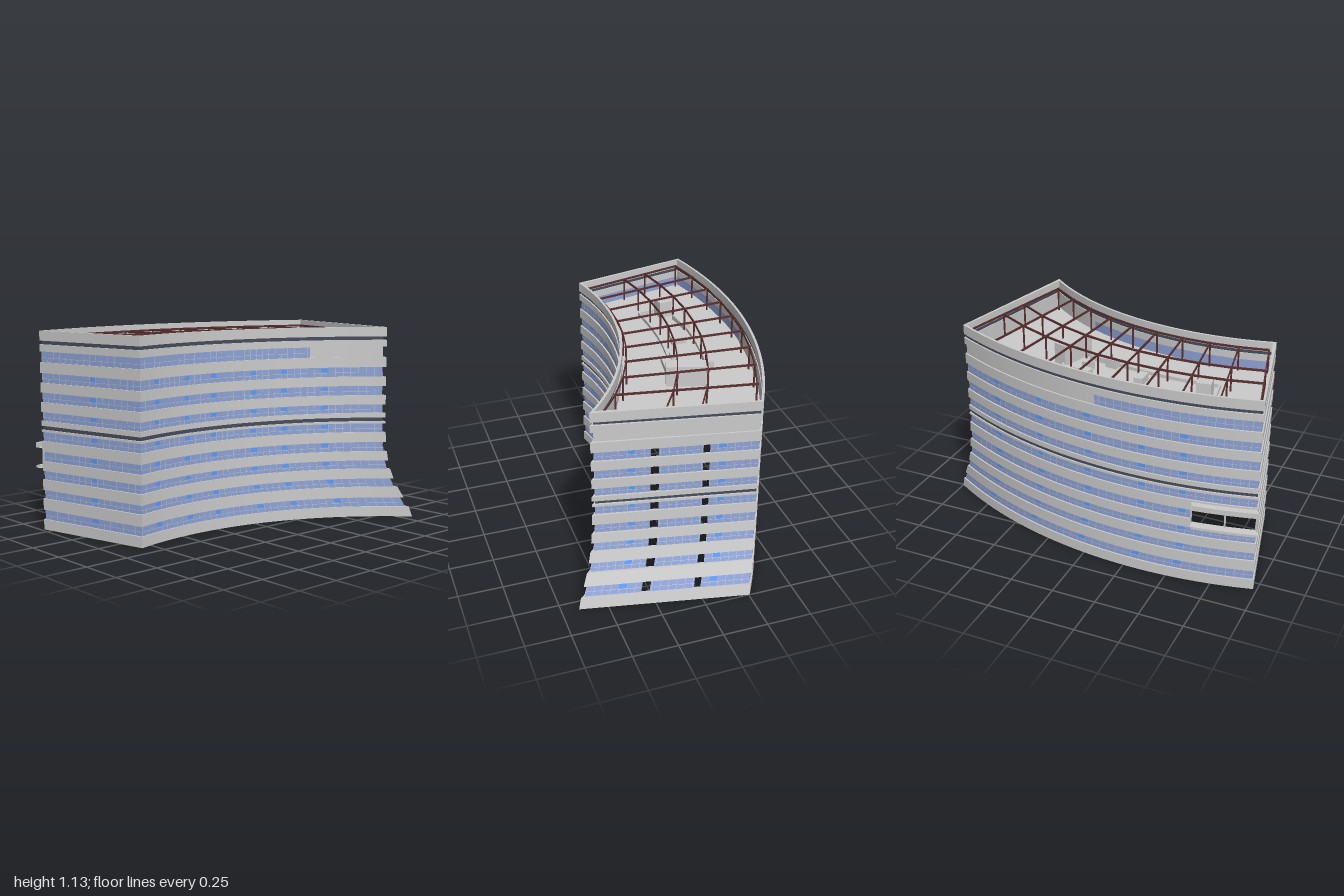
import * as THREE from 'three';
import { mergeGeometries, toCreasedNormals } from 'three/addons/utils/BufferGeometryUtils.js';

const paint = (color) => new THREE.MeshStandardMaterial({ color, side: THREE.DoubleSide });
const GREY = paint(0xcccccc), GLASS = paint(0x8fa3d6), VENT = paint(0x5f9cf5);
const DARK = paint(0x464d5c), STEEL = paint(0x5c3030), MULLION = paint(0xc4c9d2);

// Outline stations: front 0-40, right end 40-60, back 60-100, left end 100-116
const FRONT = 40, RIGHT = 60, BACK = 100, COUNT = 116;
const GLASS_IN = 0.009;

// Curved plan: two arcs joined by straight ends; the right end flares out toward the ground
const frontZ = (x, inset) => 1.75 - Math.sqrt((1.65 + inset) ** 2 - (x + 0.42) ** 2);
const backZ = (x, inset) => 1.953 - Math.sqrt((2.588 - inset) ** 2 - (x + 0.35) ** 2);
const flare = (y) => Math.exp(-((y / 0.22) ** 1.6));
const mix = THREE.MathUtils.lerp;

function frontPoint(t, y, inset) {
  const e = Math.max(inset, -0.02);
  const x = mix(-0.823 + e, 0.695 + 0.12 * flare(y) - e, t);
  return new THREE.Vector3(x, y, frontZ(x, inset));
}

function backPoint(t, y, inset) {
  const e = Math.max(inset, -0.02);
  const x = mix(-0.98 + e, 0.865 + 0.135 * flare(y) - e, t);
  return new THREE.Vector3(x, y, backZ(x, inset));
}

// Point between the front (v = 1) and back (v = 0) walls, u running left to right
const planPoint = (u, v, y, inset) => backPoint(u, y, inset).lerp(frontPoint(u, y, inset), v);

function station(i, y, inset) {
  i = ((i % COUNT) + COUNT) % COUNT;
  if (i <= FRONT) return frontPoint(i / FRONT, y, inset);
  if (i <= RIGHT) return planPoint(1, 1 - (i - FRONT) / (RIGHT - FRONT), y, inset);
  if (i <= BACK) return backPoint(1 - (i - RIGHT) / (BACK - RIGHT), y, inset);
  return planPoint(0, (i - BACK) / (COUNT - BACK), y, inset);
}

// Sweep a profile of [inset, y] points along stations from..to
function sweep(profile, from = 0, to = COUNT) {
  const pos = [];
  for (let i = from; i < to; i = Math.floor(i) + 1) {
    const next = Math.min(Math.floor(i) + 1, to);
    for (let k = 0; k + 1 < profile.length; k++) {
      const [a, b, c, d] = [[i, k], [next, k], [next, k + 1], [i, k + 1]]
        .map(([s, p]) => station(s, profile[p][1], profile[p][0]));
      for (const p of [a, b, c, a, c, d]) pos.push(p.x, p.y, p.z);
    }
  }
  const geo = new THREE.BufferGeometry();
  geo.setAttribute('position', new THREE.Float32BufferAttribute(pos, 3));
  return toCreasedNormals(geo, 0.4);
}

const band = (y0, y1, from, to, out = 0, inn = 0.014) =>
  sweep([[out, y0], [out, y1], [inn, y1], [inn, y0], [out, y0]], from, to);
const pane = (y0, y1, from, to, inset = GLASS_IN) => sweep([[inset, y0], [inset, y1]], from, to);

// Rectangular bar between two points
function bar(a, b, w, h = w) {
  const dir = b.clone().sub(a);
  const geo = new THREE.BoxGeometry(w, h, dir.length());
  const m = new THREE.Matrix4().lookAt(b, a, Math.abs(dir.y) > dir.length() * 0.9
    ? new THREE.Vector3(1, 0, 0) : new THREE.Vector3(0, 1, 0));
  m.setPosition(a.clone().add(b).multiplyScalar(0.5));
  return geo.applyMatrix4(m);
}

export function createModel() {
  const model = new THREE.Group();
  const add = (name, geos, material) => {
    const mesh = new THREE.Mesh(mergeGeometries(geos), material);
    mesh.name = name;
    model.add(mesh);
  };

  // Spandrel bands; two of them are trimmed around the terrace opening in the back wall
  const OPEN = 92.6;
  const bands = [];
  for (const [y0, y1] of [[0, 0.06], [0.115, 0.18], [0.23, 0.29], [0.562, 0.575], [0.597, 0.625],
    [0.675, 0.73], [0.785, 0.84], [0.895, 0.955], [1.015, 1.055], [1.075, 1.13]]) bands.push(band(y0, y1));
  for (const [y0, y1, c0, c1] of [[0.34, 0.395, 0.34, 0.37], [0.45, 0.51, 0.47, 0.51]]) {
    bands.push(band(y0, y1, 0, OPEN), band(c0, c1, OPEN, BACK), band(y0, y1, BACK, COUNT));
  }
  add('spandrelBands', bands, GREY);
  add('upperSolidWall', [band(0.955, 1.015, 30.4, 80.5, GLASS_IN)], GREY);
  add('shadowGaps', [pane(0.575, 0.597), pane(1.055, 1.075)], DARK);

  // Window rows: glass, mullions and bright opening lights, with two slots in the right end
  const SLOTS = [[46.75, 47.8], [53.2, 54]];
  const [[s0, s1], [s2, s3]] = SLOTS;
  const rows = [[0.06, 0.115], [0.18, 0.23], [0.29, 0.34], [0.395, 0.45], [0.51, 0.562],
    [0.625, 0.675], [0.73, 0.785], [0.84, 0.895], [0.955, 1.015]];
  const glass = [], mullions = [], vents = [];
  rows.forEach(([y0, y1], r) => {
    const runs = r === 3 ? [[0, s0], [s1, s2], [s3, OPEN], [BACK, COUNT]]
      : r === 8 ? [[0, 30.4], [80.5, COUNT]] : [[0, s0], [s1, s2], [s3, COUNT]];
    for (const [from, to] of runs) {
      glass.push(pane(y0, y1, from, to));
      const rail = mix(y0, y1, 0.4);
      mullions.push(pane(rail, rail + 0.002, from, to, GLASS_IN - 0.001));
      for (let i = Math.ceil(from); i < to; i++) mullions.push(pane(y0, y1, i, i + 0.05, GLASS_IN - 0.001));
      if (r === 8) continue;
      for (const v of [3, 9, 14, 21, 26, 32, 44, 55, 65, 72, 79, 86, 91, 108]) {
        if (v >= from && v < to) vents.push(pane(mix(y0, y1, 0.5), mix(y0, y1, 0.9), v, v + 1, GLASS_IN - 0.001));
      }
    }
  });
  add('windowGlass', glass, GLASS);
  add('windowMullions', mullions, MULLION);
  add('openingLights', vents, VENT);

  // Fin walls running inward from the front edge of each slot, following the flare
  const fins = [], LEVELS = 10;
  for (const [slot] of SLOTS) {
    const fin = new THREE.PlaneGeometry(1, 1, 1, LEVELS), pos = fin.attributes.position;
    for (let k = 0; k < pos.count; k++) {
      const p = station(slot, 0.91 * (pos.getY(k) + 0.5), 0.012);
      const depth = 0.14 * (pos.getX(k) + 0.5);
      pos.setXYZ(k, p.x - 0.98 * depth, p.y, p.z - 0.19 * depth);
    }
    fin.computeVertexNormals();
    fins.push(fin);
  }
  add('slotFinWalls', fins, GREY);

  // Projecting terrace frame around the back opening
  add('terraceFrame', [band(0.355, 0.37, OPEN, BACK, -0.037),
    band(0.47, 0.5, OPEN, BACK, -0.037)], GREY);
  add('terracePosts', [OPEN, 96.5, BACK].map((i) =>
    bar(station(i, 0.37, 0.005), station(i, 0.47, 0.005), 0.008)), GREY);

  // Roof deck closing the hollow shell
  const deckY = 0.955, shape = new THREE.Shape();
  for (let i = 0; i < COUNT; i++) {
    const p = station(i, deckY, 0.012);
    i ? shape.lineTo(p.x, -p.z) : shape.moveTo(p.x, -p.z);
  }
  const deck = new THREE.ExtrudeGeometry(shape, { depth: 0.01, bevelEnabled: false });
  add('roofDeck', [deck.rotateX(-Math.PI / 2).translate(0, deckY - 0.01, 0)], GREY);

  // Rooftop steel: cross beams, curved runners and posts
  const steel = [], beamY = 1.095, LINES = 10, runners = [0.01, 0.36, 0.59, 0.99];
  for (let i = 0; i < LINES; i++) {
    const u = i / (LINES - 1);
    steel.push(bar(planPoint(u, 0, beamY, 0.03), planPoint(u, 1, beamY, 0.03), 0.006, 0.012));
    for (const v of runners) {
      const top = planPoint(u, v, beamY, 0.03);
      steel.push(bar(planPoint(u, v, deckY, 0.03), top, 0.008));
      if (i) steel.push(bar(planPoint((i - 1) / (LINES - 1), v, beamY, 0.03), top, 0.006, 0.012));
    }
  }
  add('roofSteelFrame', steel, STEEL);

  // Rooftop plant: a low walled enclosure and equipment boxes [x, z, width, height, depth, turn]
  const plant = [[0.27, -0.14, 0.08, 0.12, 0.22, -0.3], [0.12, -0.33, 0.1, 0.05, 0.05, -0.2],
    [0.13, -0.24, 0.05, 0.05, 0.05, -0.2], [-0.2, -0.27, 0.05, 0.04, 0.09, 0], [0.02, -0.16, 0.07, 0.05, 0.04, -0.15],
    [-0.42, -0.37, 0.16, 0.03, 0.04, 0.1], [0.08, -0.11, 0.18, 0.03, 0.06, -0.15], [-0.58, -0.31, 0.08, 0.1, 0.08, 0.15]]
    .map(([x, z, w, h, d, turn]) => new THREE.BoxGeometry(w, h, d).rotateY(turn).translate(x, deckY + h / 2, z));
  const curb = [];
  for (let i = 0; i <= 8; i++) curb.push([mix(0.15, 0.7, i / 8), 0.34]);
  for (let i = 8; i >= 0; i--) curb.push([mix(0.15, 0.7, i / 8), 0.63]);
  curb.forEach(([u, v], i) => {
    const [u2, v2] = curb[(i + 1) % curb.length];
    plant.push(bar(planPoint(u, v, deckY + 0.01, 0.03), planPoint(u2, v2, deckY + 0.01, 0.03), 0.01, 0.02));
  });
  add('roofPlant', plant, GREY);

  return model;
}
